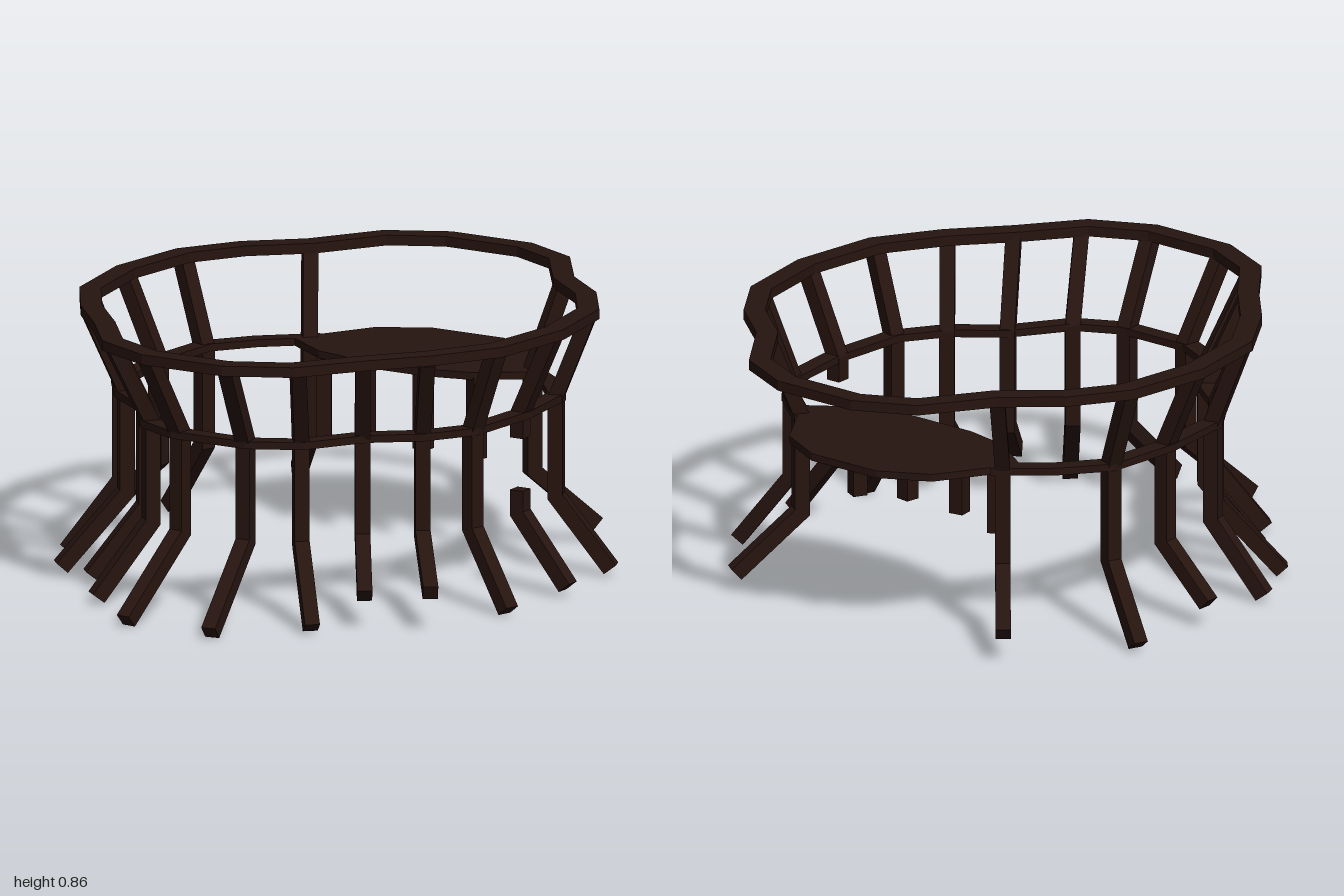
import * as THREE from 'three';

const V = (x, y, z) => new THREE.Vector3(x, y, z);

// Mitred bar of rectangular section along a path; s is the fixed width axis
function sweep(path, s, sizeS, sizeN, closed = false) {
  const n = path.length, pos = [], idx = [];
  const seg = [];
  for (let i = 0; i < n; i++) {
    const t = path[(i + 1) % n].clone().sub(path[i]);
    seg.push(s.clone().cross(t).normalize());
  }
  path.forEach((p, i) => {
    const a = seg[i === 0 ? (closed ? n - 1 : 0) : i - 1];
    const b = !closed && i === n - 1 ? a : seg[i];
    const m = a.clone().add(b).divideScalar(1 + a.dot(b));
    for (const [u, v] of [[1, 1], [-1, 1], [-1, -1], [1, -1]]) {
      const c = p.clone().addScaledVector(m, u * sizeN / 2).addScaledVector(s, v * sizeS / 2);
      pos.push(c.x, c.y, c.z);
    }
  });
  const quad = (a, b, c, d) => idx.push(a, b, c, a, c, d);
  for (let i = 0; i < (closed ? n : n - 1); i++) {
    const j = (i + 1) % n;
    for (let k = 0; k < 4; k++) {
      const l = (k + 1) % 4;
      quad(i * 4 + k, i * 4 + l, j * 4 + l, j * 4 + k);
    }
  }
  if (!closed) {
    const e = (n - 1) * 4;
    quad(0, 3, 2, 1);
    quad(e, e + 1, e + 2, e + 3);
  }
  const g = new THREE.BufferGeometry();
  g.setAttribute('position', new THREE.Float32BufferAttribute(pos, 3));
  g.setIndex(idx);
  const flat = g.toNonIndexed();
  flat.computeVertexNormals();
  return flat;
}

// Half outline (back to front on +x) completed by its mirror image
const mirrored = (half) => [...half, ...half.map(([x, z]) => [-x, z]).reverse()];

export function createModel() {
  const model = new THREE.Group();
  const wood = new THREE.MeshStandardMaterial({ color: 0x26140f, flatShading: true });
  const add = (name, geometry) => {
    const mesh = new THREE.Mesh(geometry, wood);
    mesh.name = name;
    model.add(mesh);
    return mesh;
  };
  const UP = V(0, 1, 0), BAR = 0.048, TOP = 0.84, MID = 0.575, KNEE = 0.255;

  // Upper rail, a closed loop
  const upper = [[0.14, -0.968], [0.32, -0.88], [0.465, -0.665], [0.63, -0.525], [0.745, -0.35], [0.788, -0.07],
    [0.745, 0.22], [0.62, 0.42], [0.47, 0.59], [0.33, 0.775], [0.14, 0.865]];
  add('upperRail', sweep(mirrored(upper).map(([x, z]) => V(x, 0.85, z)), UP, 0.033, 0.068, true));

  // Lower rail, running from one side of the platform round the front to the other
  const lower = [[0.38, -0.59], [0.54, -0.455], [0.647, -0.32], [0.673, -0.07],
    [0.647, 0.2], [0.55, 0.345], [0.405, 0.455], [0.28, 0.64], [0.13, 0.715]];
  add('lowerRail', sweep(mirrored(lower).map(([x, z]) => V(x, MID, z)), UP, 0.024, 0.056));

  // Platform at the back
  const outline = mirrored([[0.13, -0.855], [0.29, -0.77], [0.4, -0.59], [0.43, -0.51], [0.285, -0.41], [0.13, -0.375]]);
  const shape = new THREE.Shape(outline.map(([x, z]) => new THREE.Vector2(x, z)));
  const plate = new THREE.ExtrudeGeometry(shape, { depth: 0.024, bevelEnabled: false });
  add('platform', plate.rotateX(Math.PI / 2).translate(0, 0.587, 0));

  // Legs: top on the upper rail, post on the lower rail, then foot [x, y, z] on each side
  const legs = [
    ['backLeg', [0.465, -0.66], [0.41, -0.565], [0.54, 0.065, -0.735], [0.55, 0.1, -0.735]],
    ['rearSideLeg', [0.745, -0.35], [0.647, -0.315], [0.81, 0.025, -0.38], [0.81, 0.025, -0.38]],
    ['middleSideLeg', [0.785, -0.065], [0.665, -0.065], [0.84, 0.035, -0.065], [0.84, 0.085, -0.065]],
    ['frontSideLeg', [0.745, 0.22], [0.647, 0.195], [0.81, 0.02, 0.25], [0.81, 0.02, 0.25]],
    ['outerCornerLeg', [0.62, 0.43], [0.545, 0.335], [0.71, 0.13, 0.56], [0.7, 0.02, 0.475]],
    ['innerCornerLeg', [0.47, 0.575], [0.4, 0.46], [0.51, 0.11, 0.63], [0.53, 0.035, 0.575]],
    ['outerFrontLeg', [0.34, 0.755], [0.275, 0.63], [0.395, 0.02, 0.765], [0.395, 0.02, 0.765]],
    ['frontLeg', [0.145, 0.86], [0.12, 0.71], [0.155, 0.02, 0.985], [0.155, 0.02, 0.985]],
  ];
  for (const [name, t, p, footLeft, footRight] of legs) {
    for (const side of [1, -1]) {
      const f = side > 0 ? footLeft : footRight;
      const across = V(f[2] - p[1], 0, -side * (f[0] - p[0])).normalize();
      const at = (y) => V(side * p[0], y, p[1]);
      const top = V(side * t[0], TOP, t[1]), foot = V(side * f[0], f[1], f[2]);
      const broken = name === 'middleSideLeg' && side > 0;
      // One leg is snapped, with a gap in the middle of its post
      const parts = broken ? [[top, at(MID), at(0.5)], [at(0.33), at(KNEE), foot]]
        : [[top, at(MID), at(KNEE), foot]];
      for (const path of parts) add((side > 0 ? 'left ' : 'right ') + name, sweep(path, across, BAR, BAR));
    }
  }

  // Short stubs hanging under the front edge of the platform
  for (const side of [1, -1]) {
    for (const [x, z, bottom] of [[0.105, -0.405, 0.32], [0.28, -0.44, 0.305]]) {
      const stub = add('platformStub', new THREE.BoxGeometry(BAR, 0.57 - bottom, BAR));
      stub.position.set(side * x, (0.57 + bottom) / 2, z);
      stub.rotation.y = side * (x > 0.2 ? -0.5 : -0.15);
    }
  }
  return model;
}
